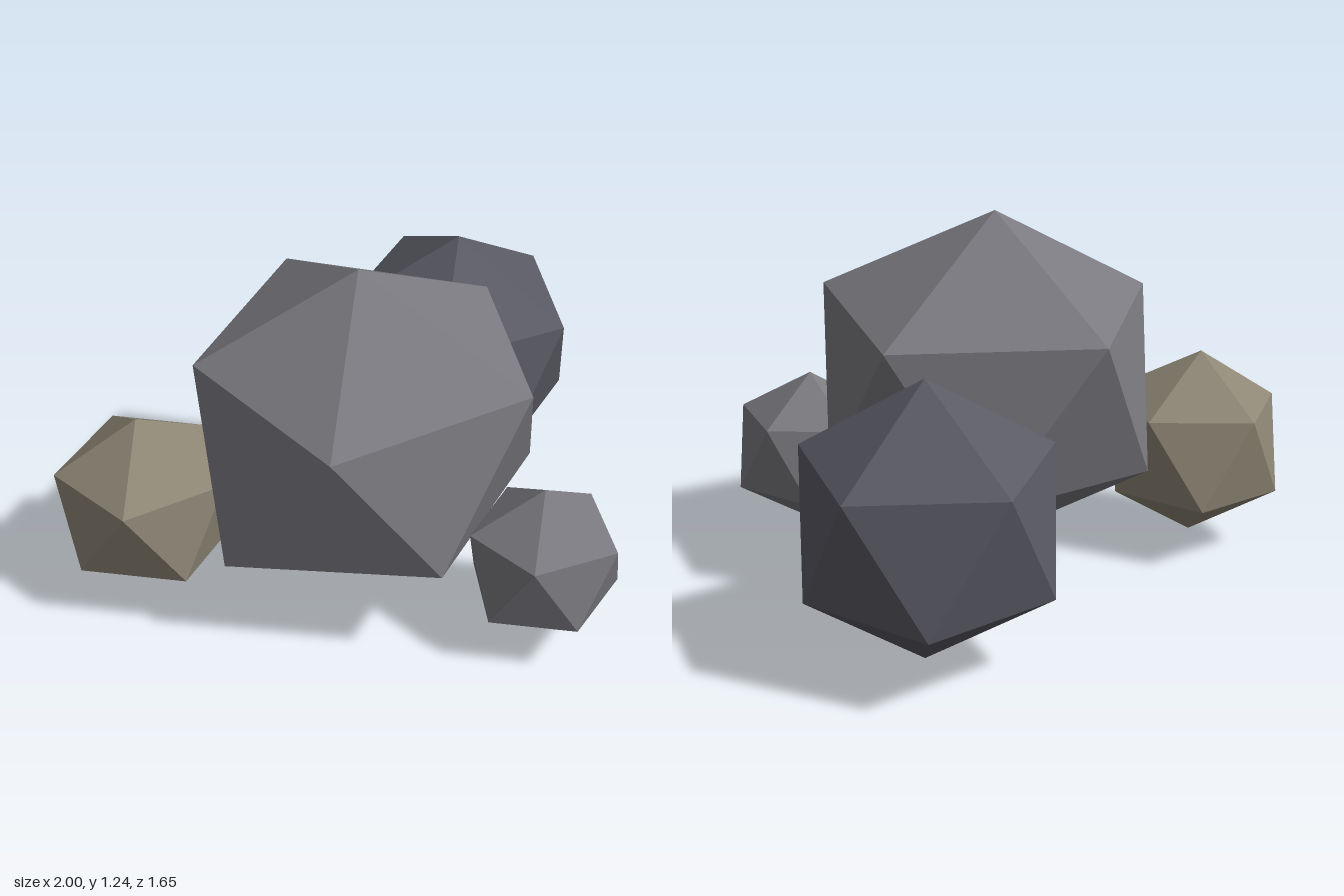
import * as THREE from 'three';

// Faceted boulder: a top point, two staggered five-point rings and a bottom point.
// Rings run counter-clockwise seen from above; lower[i] sits between upper[i] and upper[i + 1].
function boulder(name, color, { top, upper, lower, bottom }) {
  const corners = [];
  for (let i = 0; i < 5; i++) {
    const j = (i + 1) % 5;
    corners.push(top, upper[i], upper[j]); // cap
    corners.push(upper[i], lower[i], upper[j]); // belt, pointing down
    corners.push(lower[i], lower[j], upper[j]); // belt, pointing up
    corners.push(bottom, lower[j], lower[i]); // base
  }
  const geometry = new THREE.BufferGeometry();
  geometry.setAttribute('position', new THREE.Float32BufferAttribute(corners.flat(), 3));
  geometry.computeVertexNormals();
  const mesh = new THREE.Mesh(geometry, new THREE.MeshStandardMaterial({ color, flatShading: true }));
  mesh.name = name;
  return mesh;
}

export function createModel() {
  const group = new THREE.Group();
  group.name = 'rockCluster';

  // Large central boulder
  group.add(boulder('largeBoulder', 0x7a7a80, {
    top: [-0.16, 1.24, -0.07],
    upper: [[0.44, 0.9, -0.07], [0.05, 0.93, -0.65], [-0.6, 0.94, -0.38], [-0.6, 0.88, 0.255], [0.035, 0.94, 0.505]],
    lower: [[0.31, 0.4, -0.38], [-0.3, 0.4, -0.6], [-0.75, 0.36, -0.1], [-0.33, 0.4, 0.47], [0.34, 0.41, 0.24]],
    bottom: [-0.17, 0.05, -0.035],
  }));

  // Dark boulder on the left
  group.add(boulder('darkBoulder', 0x5a5a64, {
    top: [0.585, 0.92, -0.34],
    upper: [[1, 0.65, -0.35], [0.73, 0.675, -0.76], [0.25, 0.67, -0.59], [0.25, 0.67, -0.1], [0.71, 0.66, 0.055]],
    lower: [[0.93, 0.26, -0.61], [0.46, 0.26, -0.74], [0.2, 0.26, -0.34], [0.45, 0.25, 0.035], [0.91, 0.245, -0.12]],
    bottom: [0.595, 0, -0.345],
  }));

  // Sandy stone at the back right
  group.add(boulder('sandyStone', 0x8f8776, {
    top: [-0.72, 0.7, -0.55],
    upper: [[-0.415, 0.52, -0.53], [-0.62, 0.52, -0.82], [-0.955, 0.51, -0.71], [-0.945, 0.51, -0.36], [-0.61, 0.53, -0.25]],
    lower: [[-0.47, 0.22, -0.72], [-0.795, 0.22, -0.825], [-1, 0.22, -0.55], [-0.79, 0.22, -0.26], [-0.46, 0.22, -0.38]],
    bottom: [-0.7, 0.04, -0.54],
  }));

  // Small stone in front
  group.add(boulder('smallStone', 0x7a7a80, {
    top: [0.04, 0.605, 0.57],
    upper: [[0.275, 0.455, 0.57], [0.11, 0.45, 0.345], [-0.16, 0.45, 0.43], [-0.16, 0.45, 0.71], [0.11, 0.45, 0.825]],
    lower: [[0.23, 0.2, 0.425], [-0.04, 0.2, 0.34], [-0.215, 0.2, 0.57], [-0.045, 0.2, 0.805], [0.243, 0.2, 0.73]],
    bottom: [0.03, 0.045, 0.57],
  }));

  return group;
}
